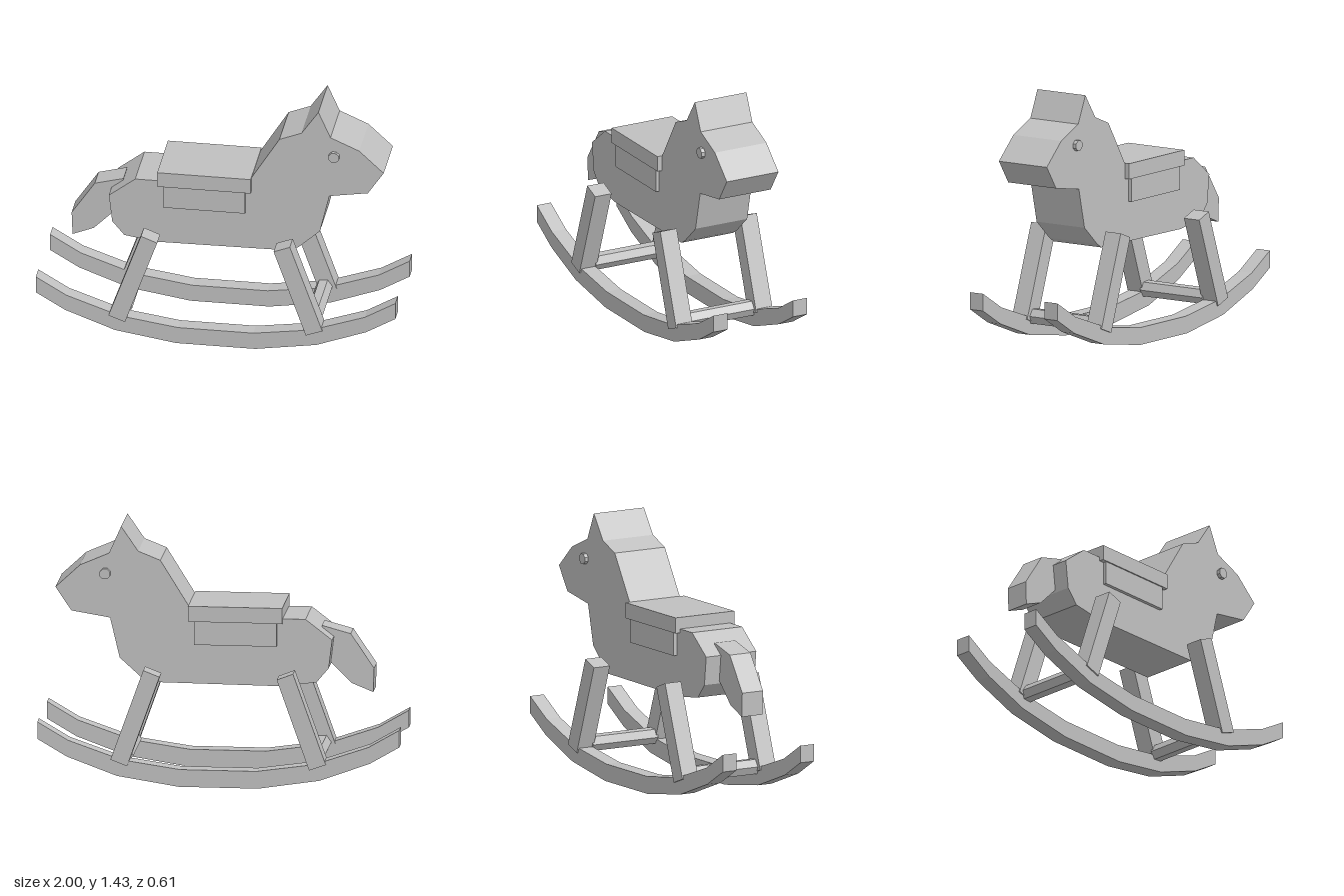
import * as THREE from 'three';

export function createModel() {
  const model = new THREE.Group();
  model.name = 'rockingHorse';
  const paint = new THREE.MeshStandardMaterial({ color: 0xc0c0c0 });
  paint.name = 'plainGrey';

  const add = (name, geometry, x = 0, y = 0, z = 0) => {
    const flat = geometry.index ? geometry.toNonIndexed() : geometry;
    flat.computeVertexNormals();
    const mesh = new THREE.Mesh(flat, paint);
    mesh.name = name;
    mesh.position.set(x, y, z);
    model.add(mesh);
    return mesh;
  };

  // Side outline cut from a board of the given thickness, centred on z
  const board = (name, points, thickness, z = 0) => {
    const shape = new THREE.Shape(points.map(([x, y]) => new THREE.Vector2(x, y)));
    const geometry = new THREE.ExtrudeGeometry(shape, { depth: thickness, bevelEnabled: false });
    geometry.translate(0, 0, -thickness / 2);
    return add(name, geometry, 0, 0, z);
  };

  // Body, neck and head in one slab
  board('body', [
    [-0.345, 0.553], [0.4, 0.56], [0.441, 0.586], [0.559, 0.693], [0.612, 0.917],
    [0.826, 0.952], [0.914, 1.083], [0.778, 1.21], [0.618, 1.28], [0.551, 1.432],
    [0.457, 1.295], [0.334, 1.246], [0.14, 0.933], [-0.468, 0.933],
    [-0.615, 0.82], [-0.596, 0.66], [-0.529, 0.58],
  ], 0.324);

  // Tail
  board('tail', [
    [-0.548, 0.88], [-0.708, 0.837], [-0.837, 0.645], [-0.832, 0.511],
    [-0.714, 0.559], [-0.596, 0.677],
  ], 0.134);

  // Saddle seat and side flaps
  add('saddleSeat', new THREE.BoxGeometry(0.52, 0.087, 0.38), -0.082, 0.954, 0);
  add('saddleFlaps', new THREE.BoxGeometry(0.455, 0.134, 0.364), -0.082, 0.846, 0);

  // Rocker outline, mirrored front to back
  const lower = [[-1, 0.254], [-0.837, 0.158], [-0.56, 0.056], [-0.22, 0.003]];
  const upper = [[-0.21, 0.1], [-0.53, 0.146], [-0.83, 0.25], [-1, 0.35]];
  const flip = (points) => points.map(([x, y]) => [-x, y]).reverse();
  const rocker = [...lower, ...flip(lower), ...flip(upper), ...upper];

  // Sloping leg outline
  const leg = [[-0.595, 0.148], [-0.503, 0.114], [-0.324, 0.62], [-0.414, 0.655]];

  for (const side of [1, -1]) {
    const label = side > 0 ? 'Left' : 'Right';
    board('rocker' + label, rocker, 0.088, side * 0.251);
    board('rearLeg' + label, leg, 0.103, side * 0.2515);
    board('frontLeg' + label, flip(leg), 0.103, side * 0.2515);

    // Eye peg
    const eye = new THREE.CylinderGeometry(0.031, 0.031, 0.05, 8);
    eye.rotateX(Math.PI / 2);
    eye.rotateZ(Math.PI / 8);
    add('eye' + label, eye, 0.639, 1.166, side * 0.159);
  }

  // Six-sided crossbars between the rockers
  for (const end of [1, -1]) {
    const bar = new THREE.CylinderGeometry(0.047, 0.047, 0.42, 6);
    bar.rotateX(Math.PI / 2);
    bar.rotateZ(Math.PI / 6 + end * 0.09);
    add(end > 0 ? 'frontCrossbar' : 'rearCrossbar', bar, end * 0.525, 0.157, 0);
  }

  return model;
}
